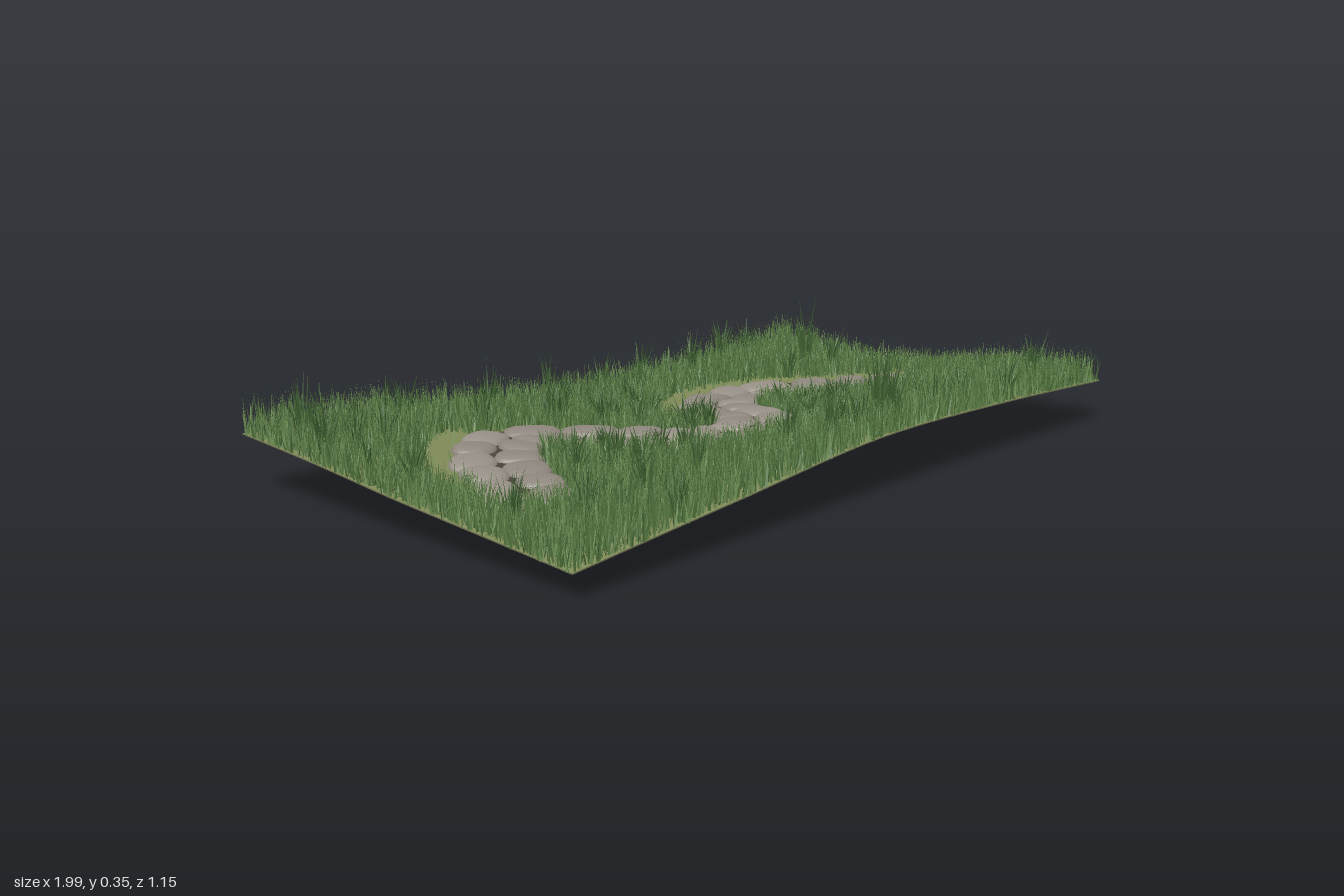
import * as THREE from 'three';
import { mergeVertices } from 'three/addons/utils/BufferGeometryUtils.js';

const W = 1.95, D = 1.1;

// seeded random numbers
let seed = 7;
function rnd() {
  seed = (seed * 1664525 + 1013904223) % 4294967296;
  return seed / 4294967296;
}
const between = (a, b) => a + (b - a) * rnd();

// rolling ground heights, rows from back to front, columns along x
const HEIGHTS = [
  [0.135, 0.088, 0.04, 0.045, 0.073],
  [0.115, 0.083, 0.05, 0.036, 0.05],
  [0.09, 0.08, 0.075, 0.048, 0.07],
  [0.07, 0.085, 0.1, 0.09, 0.1],
  [0.05, 0.092, 0.132, 0.126, 0.105],
];

// Catmull-Rom through evenly spaced values, t from 0 to 1
function spline(v, t) {
  const f = THREE.MathUtils.clamp(t, 0, 1) * (v.length - 1);
  const i = Math.min(Math.floor(f), v.length - 2), k = f - i;
  const b = v[i], c = v[i + 1];
  const a = i > 0 ? v[i - 1] : 2 * b - c;
  const d = i + 2 < v.length ? v[i + 2] : 2 * c - b;
  return b + 0.5 * k * (c - a + k * (2 * a - 5 * b + 4 * c - d + k * (3 * (b - c) + d - a)));
}
const heightAt = (x, z) => spline(HEIGHTS.map((row) => spline(row, x / W + 0.5)), z / D + 0.5);

// centre line of the winding path (x, z)
const path = new THREE.SplineCurve([
  [-0.80, 0.25], [-0.70, 0.06], [-0.6, -0.1], [-0.47, -0.19], [-0.36, -0.14], [-0.27, -0.01],
  [-0.22, 0.12], [-0.12, 0.18], [0, 0.17], [0.09, 0.07], [0.16, -0.08], [0.25, -0.18],
  [0.38, -0.21], [0.52, -0.17], [0.62, -0.07], [0.72, 0.06],
].map(([x, z]) => new THREE.Vector2(x, z)));

// point beside the path at fraction u
function beside(u, offset) {
  const c = THREE.MathUtils.clamp(u, 0, 1);
  const p = path.getPointAt(c), t = path.getTangentAt(c);
  return { x: p.x - t.y * offset, z: p.y + t.x * offset, tx: t.x, tz: t.y };
}

// worn stretches along the outer edge, where stones lie buried
const VERGES = [[0.08, 0.24], [0.66, 1]];
const samples = (from, to, n, offset) =>
  Array.from({ length: n + 1 }, (_, i) => beside(from + (to - from) * i / n, offset));
const pathSamples = samples(0.03, 0.98, 110, 0);
const vergeSamples = VERGES.flatMap(([from, to]) => samples(from, to, 30, -0.13));

function distanceTo(points, x, z) {
  let best = 9;
  for (const p of points) best = Math.min(best, (p.x - x) ** 2 + (p.z - z) ** 2);
  return Math.sqrt(best);
}
const isBare = (x, z) => distanceTo(pathSamples, x, z) < between(0.096, 0.108)
  || distanceTo(vergeSamples, x, z) < between(0.025, 0.065);

function makeGround(top, soil) {
  const geo = new THREE.BoxGeometry(W, 0.003, D, 60, 1, 36);
  const pos = geo.attributes.position;
  for (let i = 0; i < pos.count; i++) {
    pos.setY(i, pos.getY(i) + heightAt(pos.getX(i), pos.getZ(i)) - 0.0015);
  }
  geo.computeVertexNormals();
  return new THREE.Mesh(geo, [soil, soil, top, soil, soil, soil]);
}

// dark bedding strip showing between the stones
function makeBedding(material) {
  const n = 100, verts = [], index = [];
  for (let i = 0; i <= n; i++) {
    for (const side of [0.09, -0.09]) {
      const p = beside(0.01 + 0.98 * i / n, side);
      verts.push(p.x, heightAt(p.x, p.z) + 0.004, p.z);
    }
    if (i < n) {
      const k = i * 2;
      index.push(k, k + 2, k + 1, k + 1, k + 2, k + 3);
    }
  }
  const geo = new THREE.BufferGeometry();
  geo.setAttribute('position', new THREE.Float32BufferAttribute(verts, 3));
  geo.setIndex(index);
  geo.computeVertexNormals();
  return new THREE.Mesh(geo, material);
}

// flat rounded cobble, turned along the path and laid at a level above the ground
function makeStone(at, length, width, level, material) {
  let geo = new THREE.SphereGeometry(1, 24, 14);
  geo.deleteAttribute('uv');
  geo.deleteAttribute('normal');
  geo = mergeVertices(geo, 1e-4);
  const pos = geo.attributes.position;
  const power = between(2.4, 3.6), taper = between(-0.16, 0.16), skew = between(-0.25, 0.25);
  for (let i = 0; i < pos.count; i++) {
    const y = pos.getY(i), a = Math.atan2(pos.getZ(i), pos.getX(i));
    const c = Math.cos(a), s = Math.sin(a);
    const r = Math.pow(Math.max(0, 1 - y * y), 0.35)
      / Math.pow(Math.abs(c) ** power + Math.abs(s) ** power, 1 / power);
    const lz = r * s * width / 2 * (1 + taper * r * c);
    const lx = r * c * length / 2 + skew * lz;
    const x = at.x + at.tx * lx - at.tz * lz, z = at.z + at.tz * lx + at.tx * lz;
    const lift = Math.sign(y) * Math.abs(y) ** 0.8 * 0.022;
    pos.setXYZ(i, x, heightAt(x, z) + level + lift, z);
  }
  geo.computeVertexNormals();
  return new THREE.Mesh(geo, material);
}

// one row of cobbles beside the path
function addRow(group, materials, from, to, offset, level) {
  let u = from;
  while (u < to - 0.01) {
    let step = between(0.038, 0.056);
    if (to - u - step < 0.03) step = to - u;
    const a = beside(u, offset), b = beside(u + step, offset);
    const length = Math.hypot(b.x - a.x, b.z - a.z);
    if (length > 0.035) {
      const at = beside(u + step / 2, offset + between(-0.005, 0.005));
      const material = materials[rnd() < 0.6 ? 0 : 1];
      const stone = makeStone(at, length + 0.004, between(0.103, 0.114), level, material);
      stone.name = 'pathStone';
      group.add(stone);
    }
    u += step;
  }
}

// two visible rows, and a third sunk below the worn verges
function makeStones(materials) {
  const group = new THREE.Group();
  for (const side of [-0.053, 0.053]) addRow(group, materials, 0, 1, side, -0.002);
  for (const [from, to] of VERGES) addRow(group, materials, from, to, -0.15, -0.024);
  return group;
}

// one blade: a leaning triangle, or a bent three-triangle blade for tall grass
function addBlade(verts, x, z, height, width, lean, dir, bent) {
  const y = heightAt(x, z) - 0.003, turn = rnd() * Math.PI;
  const wx = Math.cos(turn) * width / 2, wz = Math.sin(turn) * width / 2;
  const dx = Math.cos(dir) * lean, dz = Math.sin(dir) * lean;
  const a = [x - wx, y, z - wz], b = [x + wx, y, z + wz], tip = [x + dx, y + height, z + dz];
  if (!bent) {
    verts.push(...a, ...b, ...tip);
    return;
  }
  const mx = x + dx * 0.35, my = y + height * 0.55, mz = z + dz * 0.35;
  const c = [mx - wx * 0.8, my, mz - wz * 0.8], d = [mx + wx * 0.8, my, mz + wz * 0.8];
  verts.push(...a, ...b, ...d, ...a, ...d, ...c, ...c, ...d, ...tip);
}

function grassMesh(verts, material) {
  const geo = new THREE.BufferGeometry();
  geo.setAttribute('position', new THREE.Float32BufferAttribute(verts, 3));
  geo.computeVertexNormals();
  return new THREE.Mesh(geo, material);
}

function makeLawn(material, count) {
  const verts = [];
  for (let i = 0; i < count; i++) {
    const x = between(-0.5, 0.5) * W, z = between(-0.5, 0.5) * D;
    if (isBare(x, z)) continue;
    const height = between(0.03, 0.06) + 0.05 * Math.abs(z) / 0.55 * rnd() + (x < -0.6 ? 0.02 * rnd() : 0);
    addBlade(verts, x, z, height, between(0.0035, 0.007), between(0.003, 0.025), rnd() * 6.283, false);
  }
  return grassMesh(verts, material);
}

// scattered taller tufts, with a few at fixed spots
function makeTufts(material) {
  const spots = [[0.1, 0.46, 0.22], [-0.66, 0.53, 0.13], [-0.58, -0.54, 0.13], [-0.03, -0.54, 0.14],
    [-0.9, -0.42, 0.17], [-0.93, -0.3, 0.17], [0.31, -0.53, 0.14], [0.54, 0.53, 0.13],
    [0.78, -0.31, 0.23], [-0.11, 0.06, 0.07], [0.64, -0.52, 0.15], [0.2, 0.42, 0.17]];
  while (spots.length < 85) {
    const x = between(-0.48, 0.48) * W, z = between(-0.48, 0.48) * D;
    if (!isBare(x, z)) spots.push([x, z, between(0.07, 0.1) + 0.09 * rnd() * Math.abs(z) / 0.55]);
  }
  const verts = [];
  for (const [x, z, tall] of spots) {
    for (let i = 0; i < 20; i++) {
      const dir = rnd() * 6.283, r = 0.012 * rnd();
      addBlade(verts, x + Math.cos(dir) * r, z + Math.sin(dir) * r, tall * between(0.5, 1),
        0.006, between(0.008, 0.038), dir, true);
    }
  }
  return grassMesh(verts, material);
}

export function createModel() {
  seed = 7;
  const paint = (name, color, side = THREE.FrontSide) => {
    const m = new THREE.MeshStandardMaterial({ color, side });
    m.name = name;
    return m;
  };
  const both = THREE.DoubleSide;
  const model = new THREE.Group();
  const add = (name, part) => { part.name = name; model.add(part); };

  add('ground', makeGround(paint('olive turf', 0x7f8a58), paint('olive soil', 0x6f7050)));
  add('pathBedding', makeBedding(paint('dark bedding', 0x4a4538, both)));
  add('pathStones', makeStones([paint('warm grey stone', 0x8f877e), paint('pale grey stone', 0x989087)]));
  add('darkLawn', makeLawn(paint('dark grass', 0x50733c, both), 24000));
  add('lightLawn', makeLawn(paint('mid grass', 0x6b8c52, both), 18000));
  add('grassTufts', makeTufts(paint('tuft green', 0x3f5f31, both)));
  return model;
}
